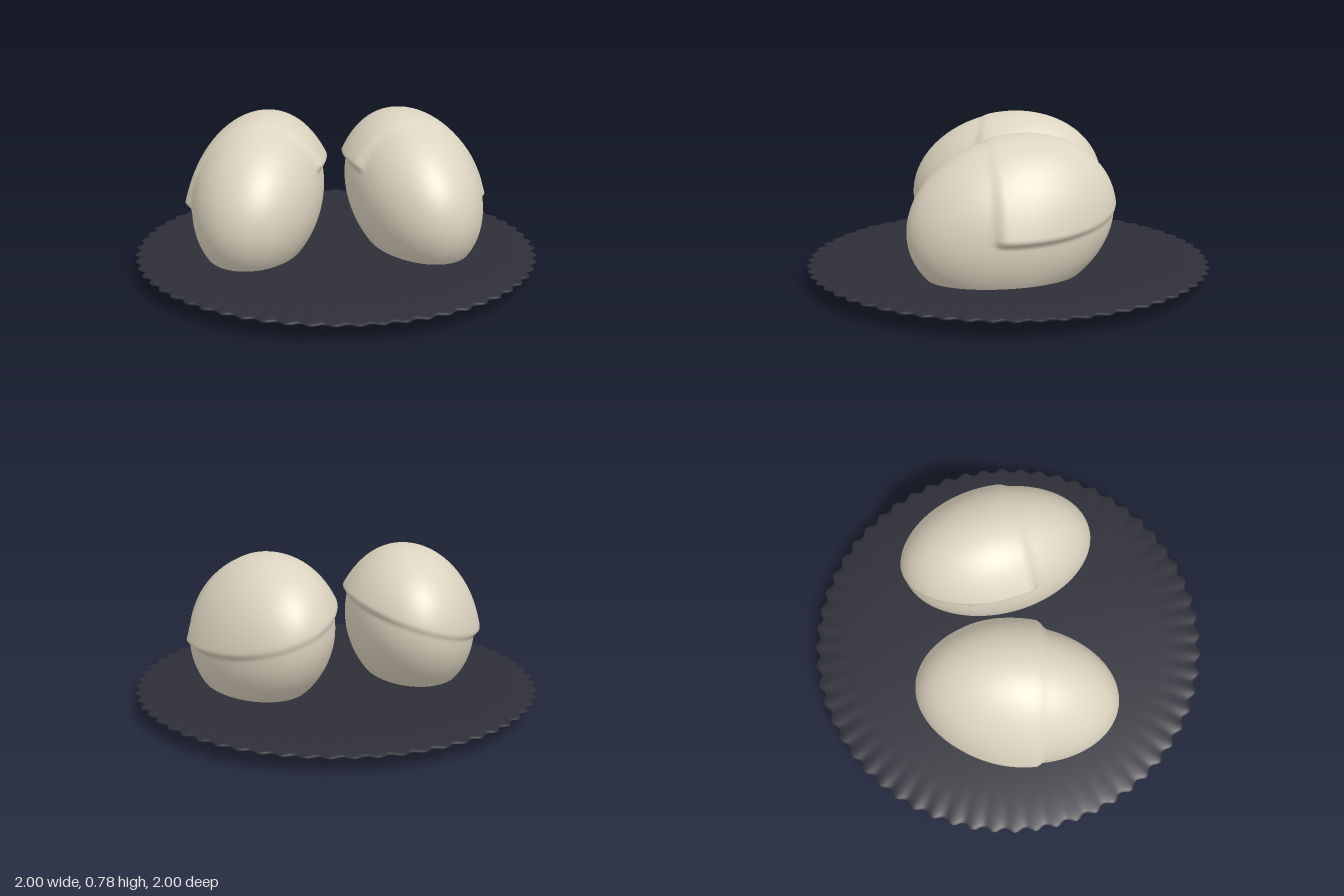
import * as THREE from 'three';
import { mergeVertices } from 'three/addons/utils/BufferGeometryUtils.js';

const smooth = THREE.MathUtils.smoothstep;

// Drop seams so the recomputed normals are smooth all round
function weld(geometry) {
  geometry.deleteAttribute('uv');
  geometry.deleteAttribute('normal');
  const welded = mergeVertices(geometry, 1e-5);
  welded.computeVertexNormals();
  return welded;
}

// Tilted egg with a raised shell over its upper back half; side is +1 or -1
function eggGeometry(side) {
  const geometry = new THREE.SphereGeometry(1, 160, 110);
  const pos = geometry.attributes.position;
  // Symmetric spread of the ellipsoid, factored into a lower-triangular map
  const xx = 0.1076, yy = 0.1502, zz = 0.2352, xy = -0.0165, xz = 0.026, yz = -0.024;
  const a = Math.sqrt(xx), b = xy / a, c = xz / a;
  const d = Math.sqrt(yy - b * b), e = (yz - b * c) / d;
  const f = Math.sqrt(zz - c * c - e * e);
  const map = new THREE.Matrix4().set(a, 0, 0, 0, b, d, 0, 0, c, e, f, 0, 0, 0, 0, 1);
  const normalMap = new THREE.Matrix3().getNormalMatrix(map);
  const p = new THREE.Vector3(), n = new THREE.Vector3();
  for (let i = 0; i < pos.count; i++) {
    p.fromBufferAttribute(pos, i);
    p.x *= side;
    n.copy(p).applyMatrix3(normalMap).normalize();
    p.applyMatrix4(map).add(new THREE.Vector3(0.383, 0.392, 0));
    // Height above the sloping lower edge, and distance behind the front edge
    const h = p.y - (0.555 - 0.31 * (p.x - 0.06) + 0.03 * p.z);
    const back = 0.15 - 0.13 * (p.x - 0.06) - p.z;
    const lower = smooth(h, -0.025, 0.012) * Math.exp(-Math.max(h, 0) / 0.17);
    const front = smooth(back, -0.03, 0.03);
    const fade = 0.3 + 0.7 * smooth(p.z, -0.5, -0.05);
    p.addScaledVector(n, 0.036 * lower * front * fade);
    pos.setXYZ(i, p.x * side, p.y, p.z);
  }
  return weld(geometry);
}

// Thin lens-shaped disc with a scalloped rim
function discGeometry() {
  const teeth = 60, profile = [];
  for (let i = 0; i <= 40; i++) {
    const t = -Math.PI / 2 + (i / 40) * Math.PI;
    profile.push(new THREE.Vector2(Math.max(0, Math.cos(t)), 0.092 + 0.05 * Math.sin(t)));
  }
  const geometry = new THREE.LatheGeometry(profile, teeth * 8);
  const pos = geometry.attributes.position;
  for (let i = 0; i < pos.count; i++) {
    const x = pos.getX(i), z = pos.getZ(i);
    const wave = 0.5 - 0.5 * Math.cos(teeth * Math.atan2(z, x));
    const k = 1 - 0.024 * wave * smooth(Math.hypot(x, z), 0.75, 1);
    pos.setX(i, x * k);
    pos.setZ(i, z * k);
  }
  return weld(geometry);
}

export function createModel() {
  const model = new THREE.Group();
  const cream = new THREE.MeshStandardMaterial({ color: 0xddd4c0 });
  cream.name = 'cream';
  const charcoal = new THREE.MeshStandardMaterial({ color: 0x2e2e38 });
  charcoal.name = 'charcoal';

  const disc = new THREE.Mesh(discGeometry(), charcoal);
  disc.name = 'scallopedDisc';
  model.add(disc);

  for (const side of [1, -1]) {
    const egg = new THREE.Mesh(eggGeometry(side), cream);
    egg.name = side > 0 ? 'leftEgg' : 'rightEgg';
    model.add(egg);
  }
  return model;
}
